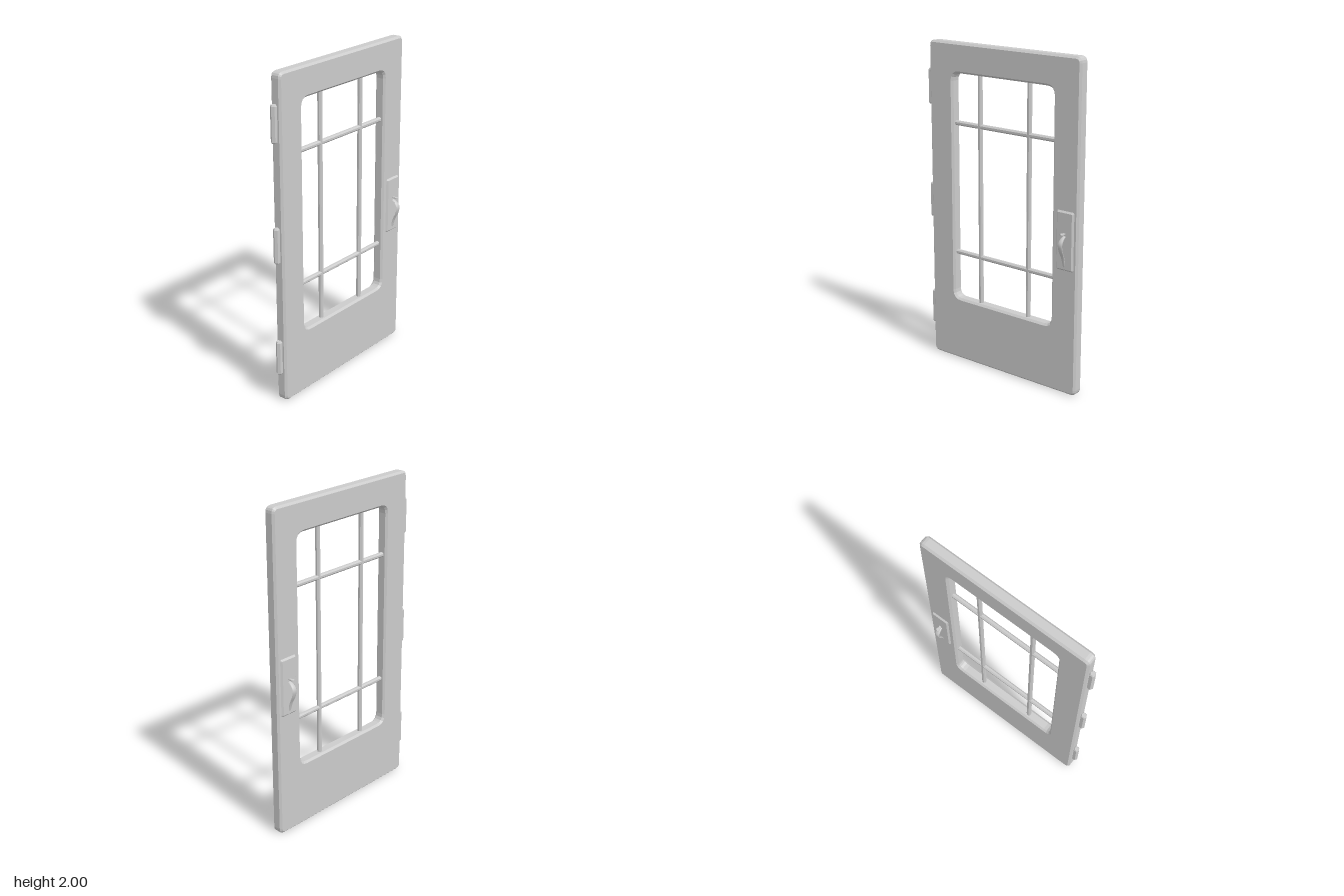
import * as THREE from 'three';

const material = new THREE.MeshStandardMaterial({ color: 0xcccccc, flatShading: true });
const smooth = new THREE.MeshStandardMaterial({ color: 0xcccccc });

// Rounded rectangle from corner to corner
function roundedRect(path, u0, y0, u1, y1, r) {
  path.moveTo(u0 + r, y0);
  path.lineTo(u1 - r, y0);
  path.quadraticCurveTo(u1, y0, u1, y0 + r);
  path.lineTo(u1, y1 - r);
  path.quadraticCurveTo(u1, y1, u1 - r, y1);
  path.lineTo(u0 + r, y1);
  path.quadraticCurveTo(u0, y1, u0, y1 - r);
  path.lineTo(u0, y0 + r);
  path.quadraticCurveTo(u0, y0, u0 + r, y0);
  return path;
}

// Bevelled slab centred on x = 0, its shape drawn in (-z, y)
function slab(shape, thickness, bevel) {
  const geometry = new THREE.ExtrudeGeometry(shape, {
    depth: thickness - 2 * bevel, bevelEnabled: true, bevelThickness: bevel,
    bevelSize: bevel, bevelOffset: -bevel, bevelSegments: 1, curveSegments: 4,
  });
  geometry.translate(0, 0, bevel - thickness / 2);
  return geometry.rotateY(Math.PI / 2);
}

// Flattened bow that narrows towards both ends
function gripGeometry() {
  const curve = new THREE.CatmullRomCurve3([
    [0.036, 0.978], [0.06, 0.968], [0.08, 0.948], [0.085, 0.93],
    [0.077, 0.895], [0.056, 0.85], [0.044, 0.81], [0.036, 0.775],
  ].map(([x, y]) => new THREE.Vector3(x, y, 0)));
  const geometry = new THREE.TubeGeometry(curve, 28, 0.005, 8);
  const p = geometry.attributes.position;
  for (let i = 0; i < p.count; i++) {
    const t = THREE.MathUtils.clamp((p.getX(i) - 0.036) / 0.045, 0, 1);
    p.setZ(i, p.getZ(i) * (1.7 + 1.4 * t));
  }
  geometry.computeVertexNormals();
  return geometry;
}

export function createModel() {
  const door = new THREE.Group();
  door.name = 'door';
  const add = (name, geometry, parent = door, mat = material) => {
    const mesh = new THREE.Mesh(geometry, mat);
    mesh.name = name;
    parent.add(mesh);
    return mesh;
  };

  // Door leaf with window opening
  const leaf = roundedRect(new THREE.Shape(), -0.538, 0, 0.565, 2, 0.035);
  leaf.holes.push(roundedRect(new THREE.Path(), -0.358, 0.405, 0.385, 1.82, 0.05));
  add('doorLeaf', slab(leaf, 0.07, 0.012));

  // Window bars
  for (const z of [0.17, -0.194]) {
    add('verticalBar', new THREE.CylinderGeometry(0.015, 0.015, 1.44, 8)
      .rotateY(Math.PI / 8)).position.set(0, 1.1125, z);
  }
  for (const y of [0.7, 1.515]) {
    add('horizontalBar', new THREE.CylinderGeometry(0.015, 0.015, 0.765, 8)
      .rotateY(Math.PI / 8).rotateX(Math.PI / 2)).position.set(0, y, -0.0135);
  }

  // Hinge barrels
  for (const y of [0.293, 1.005, 1.717]) {
    const hinge = new THREE.Group();
    hinge.name = 'hinge';
    hinge.position.set(0, y, 0.552);
    add('hingeBarrel', new THREE.CylinderGeometry(0.019, 0.019, 0.2, 6), hinge);
    for (const s of [-1, 1]) {
      add('hingeCap', new THREE.CylinderGeometry(s > 0 ? 0.014 : 0.019, s > 0 ? 0.019 : 0.014, 0.008, 6), hinge)
        .position.y = s * 0.104;
    }
    door.add(hinge);
  }

  // Lock plates, grips and thumb latches on both faces
  const plate = slab(roundedRect(new THREE.Shape(), 0.42, 0.77, 0.54, 1.125, 0.012), 0.09, 0.01);
  add('lockPlate', plate);
  for (const side of [0, 1]) {
    const handle = new THREE.Group();
    handle.name = side ? 'rightHandle' : 'leftHandle';
    handle.position.z = -0.48;
    handle.rotation.y = side * Math.PI;
    add('grip', gripGeometry(), handle, smooth);
    add('latchStem', new THREE.BoxGeometry(0.035, 0.006, 0.014), handle).position.set(0.053, 0.993, 0);
    const thumb = add('thumbLatch', new THREE.CylinderGeometry(0.011, 0.011, 0.007, 10), handle);
    thumb.position.set(0.07, 0.994, 0);
    door.add(handle);
  }
  return door;
}
